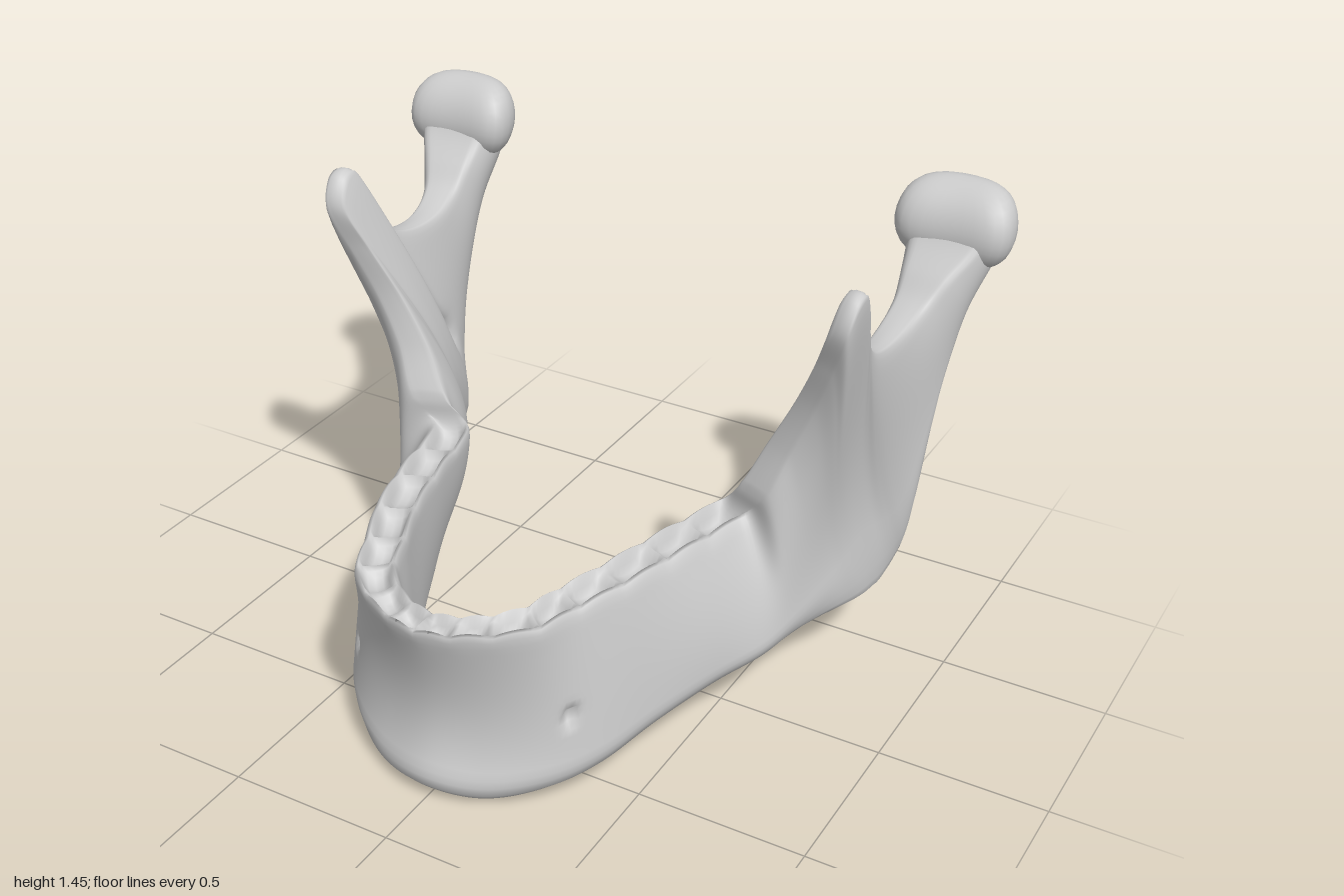
import * as THREE from 'three';

// Each station is a cross-section from a lower edge to an upper edge:
// [facing angle, lower x,y,z, upper x,y,z, bow, half thickness low/mid/top, tooth phase]
const body = [
  [0, 0, 0.012, 0.735, 0, 0.585, 0.787, -0.055, 0.135, 0.065, 0.055, 0],
  [20, 0.138, 0.005, 0.695, 0.13, 0.59, 0.75, -0.047, 0.13, 0.07, 0.055, 1.5],
  [45, 0.255, 0.03, 0.605, 0.24, 0.60, 0.66, -0.02, 0.12, 0.075, 0.06, 2.8],
  [60, 0.343, 0.07, 0.50, 0.29, 0.61, 0.54, 0, 0.10, 0.08, 0.06, 3.9],
  [65, 0.422, 0.125, 0.34, 0.355, 0.625, 0.38, 0, 0.085, 0.085, 0.062, 5.1],
  [67, 0.505, 0.165, 0.15, 0.41, 0.625, 0.17, 0.005, 0.075, 0.092, 0.062, 6.4],
  [67, 0.585, 0.193, 0.01, 0.468, 0.62, -0.06, 0, 0.07, 0.095, 0.06, 7.8],
];
// Front edge of the ramus up to the coronoid tip
const ramus = [
  [67, 0.645, 0.22, -0.12, 0.545, 0.71, -0.055, -0.03, 0.06, 0.1, 0.06],
  [68, 0.69, 0.235, -0.21, 0.605, 0.85, -0.075, -0.055, 0.055, 0.1, 0.05],
  [70, 0.73, 0.24, -0.29, 0.675, 1.0, -0.065, -0.08, 0.05, 0.092, 0.042],
  [72, 0.755, 0.243, -0.345, 0.74, 1.15, -0.025, -0.095, 0.05, 0.083, 0.036],
  [75, 0.768, 0.245, -0.385, 0.79, 1.28, 0.015, -0.105, 0.05, 0.076, 0.034],
  [77, 0.775, 0.248, -0.42, 0.805, 1.36, -0.015, -0.102, 0.05, 0.072, 0.034],
  [78, 0.78, 0.25, -0.45, 0.808, 1.375, -0.07, -0.095, 0.05, 0.07, 0.032],
];
// Notch, back edge and neck, ending inside the condyle
const notch = [
  [78, 0.785, 0.265, -0.492, 0.802, 1.31, -0.1, -0.085, 0.05, 0.068, 0.03],
  [79, 0.795, 0.3, -0.525, 0.79, 1.215, -0.145, -0.07, 0.05, 0.068, 0.03],
  [80, 0.81, 0.36, -0.545, 0.78, 1.14, -0.215, -0.055, 0.05, 0.067, 0.032],
  [80, 0.82, 0.47, -0.56, 0.775, 1.11, -0.31, -0.037, 0.05, 0.065, 0.037],
  [80, 0.825, 0.67, -0.59, 0.775, 1.115, -0.42, -0.02, 0.05, 0.068, 0.045],
  [82, 0.822, 0.89, -0.635, 0.785, 1.155, -0.51, -0.008, 0.057, 0.08, 0.052],
  [85, 0.818, 1.06, -0.69, 0.80, 1.22, -0.572, 0, 0.067, 0.1, 0.07],
  [88, 0.822, 1.2, -0.775, 0.82, 1.29, -0.635, 0, 0.085, 0.128, 0.095],
  [90, 0.825, 1.3, -0.815, 0.825, 1.37, -0.68, 0, 0.085, 0.14, 0.11],
];

const left = [...body, ...ramus, ...notch].map(s => s.length < 12 ? [...s, 8] : s);
const mirrored = s => s.map((n, k) => [0, 1, 4, 11].includes(k) ? -n : n);
const stations = [...left.slice(1).reverse().map(mirrored), ...left];
const MID = left.length - 1;

// Small hollows for the nerve openings: [station, height, side, station radius, height radius, depth]
const hollows = [
  [2.55, 0.43, 1, 0.13, 0.035, 0.035],
  [15.2, 0.5, -1, 0.8, 0.06, 0.045],
];

// Smooth blend of the stations at a fractional position
function stationAt(t) {
  const i = Math.min(Math.floor(t), stations.length - 2), f = t - i;
  const at = k => stations[Math.max(0, Math.min(stations.length - 1, k))];
  const [a, b, c, d] = [at(i - 1), at(i), at(i + 1), at(i + 2)];
  return b.map((p, k) => p + 0.5 * f * (c[k] - a[k]
    + f * (2 * a[k] - 5 * p + 4 * c[k] - d[k] + f * (3 * (p - c[k]) + d[k] - a[k]))));
}

// Ring pattern: [height fraction, sideways fraction, socket floor weight]
function ringPattern() {
  const side = [[0.008, 0.25], [0.03, 0.5], [0.075, 0.8], [0.12, 0.93]];
  for (let v = 0.16; v < 0.93; v += 0.04) side.push([v, 1]);
  side.push([0.96, 0.98], [0.99, 0.9], [1, 0.78]);
  const outer = side.map(([v, o]) => [v, o, 0]);
  const inner = outer.map(([v, o]) => [v, -o, 0]).reverse();
  const floor = [[1, 0.6, 0.6], [1.005, 0.35, 1], [1.005, 0, 1.05], [1.005, -0.35, 1], [1, -0.6, 0.6]];
  return [[0, 0, 0], ...outer, ...floor, ...inner];
}

function surfacePoint(t, [v, o, floor]) {
  const [deg, bx, by, bz, tx, ty, tz, bow, h0, h1, h2, phase] = stationAt(t);
  const a = THREE.MathUtils.degToRad(deg), q = 4 * v * (1 - v);
  const h = h0 * (1 - v) * (1 - 2 * v) + h1 * q + h2 * v * (2 * v - 1);
  let off = bow * q * (1.5 - v) + h * o;
  for (const [s, hv, side, rs, rv, depth] of hollows) {
    if (o * side <= 0) continue;
    const d = ((Math.abs(t - MID) - s) / rs) ** 2 + ((v - hv) / rv) ** 2;
    off -= side * depth * Math.exp(-d);
  }
  // tooth sockets with raised walls between them
  const p = Math.min(8, Math.abs(phase));
  const wave = Math.abs(Math.sin(Math.PI * p));
  const scallop = p < 8 ? 0.012 * (wave - 0.5) * Math.max(0, (v - 0.9) * 10) : 0;
  const sink = 0.06 * floor * Math.pow(wave, 0.7);
  return [
    bx + (tx - bx) * v + Math.sin(a) * off,
    by + (ty - by) * v + scallop - sink,
    bz + (tz - bz) * v + Math.cos(a) * off,
  ];
}

function buildJaw() {
  const ring = ringPattern(), n = ring.length, SUB = 10;
  const rows = (stations.length - 1) * SUB;
  const pos = [], idx = [];
  for (let i = 0; i <= rows; i++) for (const r of ring) pos.push(...surfacePoint(i / SUB, r));
  for (let i = 0; i < rows; i++) for (let j = 0; j < n; j++) {
    const k = (j + 1) % n, a = i * n + j, b = a + n, c = (i + 1) * n + k, d = i * n + k;
    idx.push(a, b, c, a, c, d);
  }
  const g = new THREE.BufferGeometry();
  g.setAttribute('position', new THREE.Float32BufferAttribute(pos, 3));
  g.setIndex(idx);
  g.computeVertexNormals();
  return g;
}

// Rounded joint head, its two ends full and bent forward
function buildCondyle() {
  const g = new THREE.SphereGeometry(1, 28, 20);
  const p = g.attributes.position;
  for (let i = 0; i < p.count; i++) {
    const x = p.getX(i), y = p.getY(i), z = p.getZ(i);
    const full = 1 + 0.4 * x * x;
    p.setXYZ(i, 0.175 * x, 0.122 * y * full, 0.1 * z * full + 0.035 * x * x - 0.02 * y);
  }
  g.computeVertexNormals();
  return g;
}

export function createModel() {
  const group = new THREE.Group();
  group.name = 'lowerJaw';
  const bone = new THREE.MeshStandardMaterial({ color: 0xcccccc, side: THREE.DoubleSide });
  const jaw = new THREE.Mesh(buildJaw(), bone);
  jaw.name = 'jawbone';
  group.add(jaw);
  const head = buildCondyle();
  for (const side of [-1, 1]) {
    const condyle = new THREE.Mesh(head, bone);
    condyle.name = side > 0 ? 'leftCondyle' : 'rightCondyle';
    condyle.position.set(0.825 * side, 1.328, -0.743);
    group.add(condyle);
  }
  return group;
}
